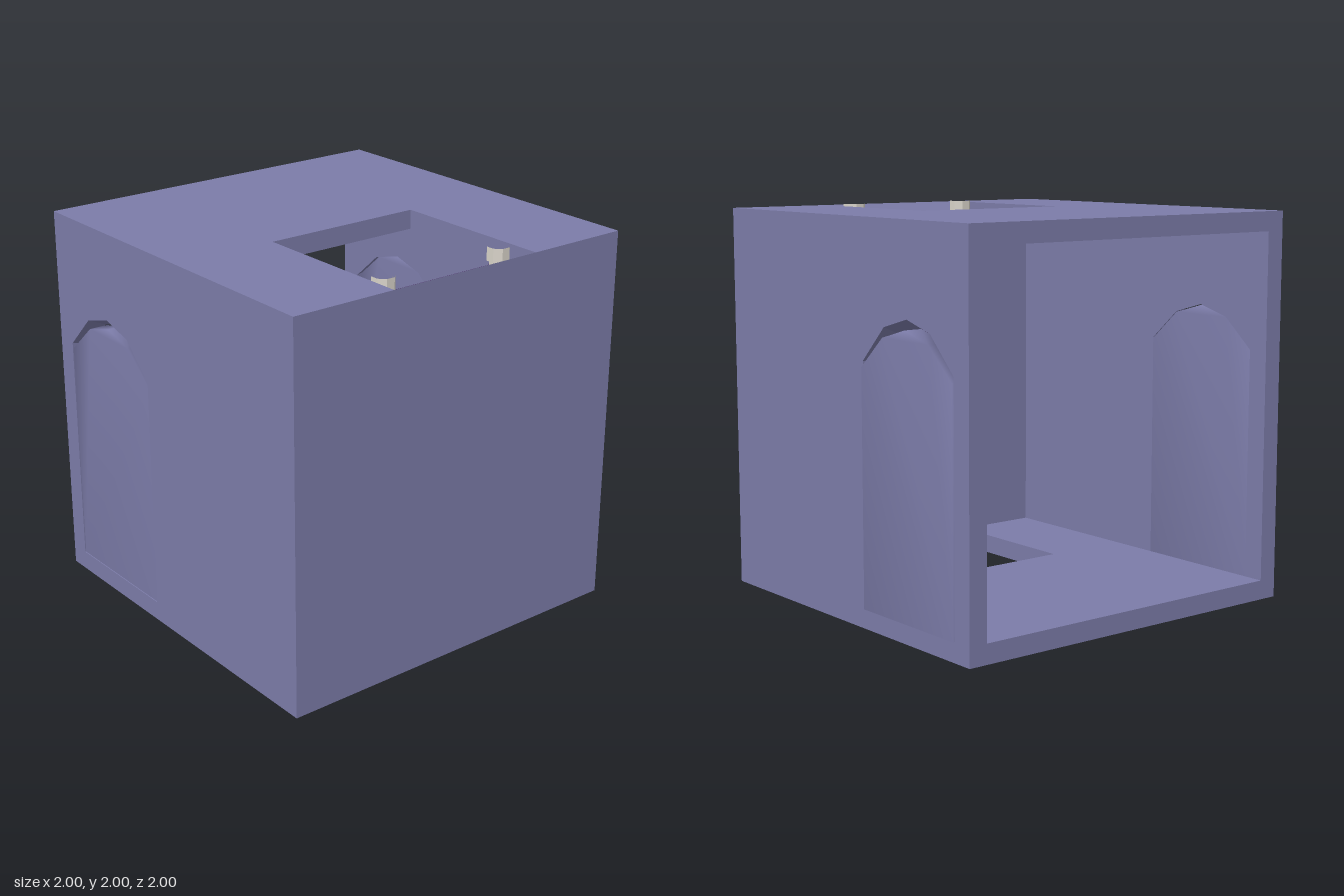
import * as THREE from 'three';
import { mergeVertices } from 'three/addons/utils/BufferGeometryUtils.js';

const V = (x, y, z) => new THREE.Vector3(x, y, z);

// Flat face with optional holes, turned so that it faces along n
function addFace(out, n, pts, holes = []) {
  const a = [Math.abs(n.x), Math.abs(n.y), Math.abs(n.z)];
  const k = a.indexOf(Math.max(...a));
  const flat = (p) => k === 0 ? new THREE.Vector2(p.y, p.z)
    : k === 1 ? new THREE.Vector2(p.x, p.z) : new THREE.Vector2(p.x, p.y);
  const all = [pts, ...holes].flat();
  for (const t of THREE.ShapeUtils.triangulateShape(pts.map(flat), holes.map((h) => h.map(flat)))) {
    let [p, q, r] = t.map((i) => all[i]);
    const cross = q.clone().sub(p).cross(r.clone().sub(p));
    if (cross.dot(n) < 0) [q, r] = [r, q];
    for (const c of [p, q, r]) out.push(c.x, c.y, c.z);
  }
}

// Faceted arch as [z, y] pairs
const arch = (spring, shoulder, top) => [
  [-0.18, 0.1], [-0.18, spring], [-0.355, shoulder], [-0.535, top],
  [-0.715, shoulder], [-0.89, spring], [-0.89, 0.1],
];
const outerArch = arch(1.31, 1.485, 1.535);
const innerArch = arch(1.285, 1.44, 1.49);

const x0 = -1, x1 = 0.99, yTop = 1.99, wall = 0.1;
const h0 = -0.44, h1 = 0.43, hBack = 0.1;

function roomGeometry() {
  const out = [];
  const rectZ = (d, z) => [V(x0 + d, d, z), V(x1 - d, d, z), V(x1 - d, yTop - d, z), V(x0 + d, yTop - d, z)];

  // Front wall and open back rim
  addFace(out, V(0, 0, 1), rectZ(0, 1));
  addFace(out, V(0, 0, -1), rectZ(wall, 1 - wall));
  addFace(out, V(0, 0, -1), rectZ(0, -1), [rectZ(wall, -1)]);

  // Floor and ceiling, each with a hatch
  for (const s of [-1, 1]) {
    const yo = s > 0 ? yTop : 0, yi = yo - s * wall;
    const plate = (d, y) => [
      V(x0 + d, y, -1), V(x1 - d, y, -1), V(x1 - d, y, 1 - d), V(h1, y, 1 - d),
      V(h1, y, hBack), V(h0, y, hBack), V(h0, y, 1 - d), V(x0 + d, y, 1 - d),
    ];
    addFace(out, V(0, s, 0), plate(0, yo));
    addFace(out, V(0, -s, 0), plate(wall, yi));
    for (const [x, n] of [[h0, 1], [h1, -1]]) {
      addFace(out, V(n, 0, 0), [V(x, yo, hBack), V(x, yo, 1), V(x, yi, 1 - wall), V(x, yi, hBack)]);
    }
    addFace(out, V(0, 0, 1), [V(h0, yo, hBack), V(h1, yo, hBack), V(h1, yi, hBack), V(h0, yi, hBack)]);
    addFace(out, V(0, s * 0.9, -1), [V(h0, yo, 1), V(h1, yo, 1), V(h1, yi, 1 - wall), V(h0, yi, 1 - wall)]);
  }

  // Side walls with tapered arched doorways
  for (const s of [-1, 1]) {
    const xo = s > 0 ? x1 : x0, xi = xo - s * wall;
    const side = (x, d) => [V(x, d, -1), V(x, d, 1 - d), V(x, yTop - d, 1 - d), V(x, yTop - d, -1)];
    const o = outerArch.map(([z, y]) => V(xo, y, z));
    const i = innerArch.map(([z, y]) => V(xi, y, z));
    addFace(out, V(s, 0, 0), side(xo, 0), [o]);
    addFace(out, V(-s, 0, 0), side(xi, wall), [i]);
    for (let k = 0; k < o.length; k++) {
      const m = (k + 1) % o.length;
      const mid = o[k].clone().add(o[m]).multiplyScalar(0.5);
      const n = V(xo, 0.8, -0.535).sub(mid);
      addFace(out, n, [o[k], o[m], i[m], i[k]]);
    }
  }
  const g = new THREE.BufferGeometry();
  g.setAttribute('position', new THREE.Float32BufferAttribute(out, 3));
  g.computeVertexNormals();
  return g;
}

// Thick arched slab with soft shading across its edges
function doorGeometry() {
  const shape = new THREE.Shape(innerArch.map(([z, y]) => new THREE.Vector2(-z, y - (y > 0.2 ? 0.004 : 0))));
  let g = new THREE.ExtrudeGeometry(shape, { depth: 0.095, bevelEnabled: false });
  g.rotateY(Math.PI / 2);
  g.deleteAttribute('normal');
  g.deleteAttribute('uv');
  g = mergeVertices(g);
  g.computeVertexNormals();
  return g;
}

export function createModel() {
  const stone = new THREE.MeshStandardMaterial({ color: 0x7c7ca9 });
  stone.name = 'blueGreyStone';
  const pale = new THREE.MeshStandardMaterial({ color: 0xd9d4ca });
  pale.name = 'paleMetal';
  const purple = new THREE.MeshStandardMaterial({ color: 0x4c3068 });
  purple.name = 'darkPurple';

  const model = new THREE.Group();
  model.name = 'hatchRoom';
  const add = (name, geo, mat, parent, x = 0, y = 0, z = 0) => {
    const m = new THREE.Mesh(geo, mat);
    m.name = name;
    m.position.set(x, y, z);
    parent.add(m);
    return m;
  };

  add('roomShell', roomGeometry(), stone, model);

  const door = doorGeometry();
  add('leftDoor', door, stone, model, 0.905);
  add('rightDoor', door, stone, model, -0.995);

  // Ladder along the inside of the front wall
  const ladder = new THREE.Group();
  ladder.name = 'ladder';
  model.add(ladder);
  const tube = (r, h) => new THREE.CylinderGeometry(r, r, h, 8, 1, true).rotateY(Math.PI / 8).toNonIndexed();
  const post = tube(0.045, 1.98), collar = tube(0.058, 0.07);
  for (const g of [post, collar]) g.computeVertexNormals();
  const strip = new THREE.BoxGeometry(0.034, 1.5, 0.006);
  for (const x of [-0.365, 0.345]) {
    add('ladderPost', post, pale, ladder, x, 1, 0.835);
    for (const y of [0.04, 1.965]) add('postCollar', collar, pale, ladder, x, y, 0.835);
    add('postStrip', strip, purple, ladder, x, 1.15, 0.791);
  }
  const rung = new THREE.CylinderGeometry(0.033, 0.033, 0.75, 6).rotateZ(Math.PI / 2).toNonIndexed();
  rung.computeVertexNormals();
  for (let i = 0; i < 7; i++) add('rung', rung, purple, ladder, -0.01, 0.15 + i * 0.288, 0.83);

  return model;
}
